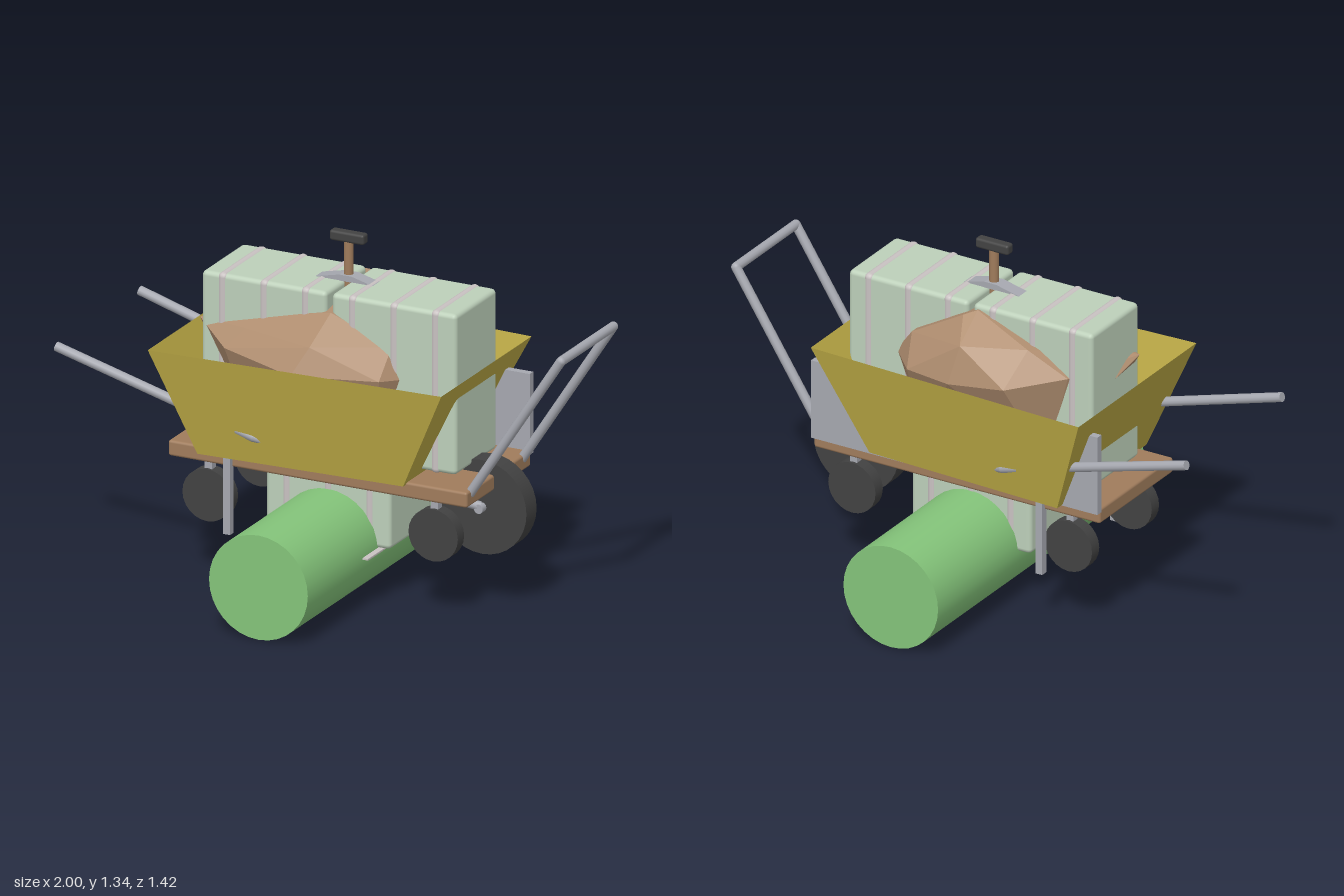
import * as THREE from 'three';
import { RoundedBoxGeometry } from 'three/addons/geometries/RoundedBoxGeometry.js';
import { ConvexGeometry } from 'three/addons/geometries/ConvexGeometry.js';

const mat = (name, color) => {
  const m = new THREE.MeshStandardMaterial({ color });
  m.name = name;
  return m;
};

export function createModel() {
  const root = new THREE.Group();
  root.name = 'loadedCart';
  const green = mat('leafGreen', 0x84c47a);
  const pale = mat('paleGreen', 0xbdd0ba);
  const strap = mat('strapGrey', 0xc9c2c2);
  const yellow = mat('trayYellow', 0xc0ad47);
  const metal = mat('metalGrey', 0xa6a8b0);
  const rubber = mat('rubberBlack', 0x424242);
  const wood = mat('plankBrown', 0xa07c5c);
  const sackBrown = mat('sackBrown', 0xb08e70);
  yellow.side = THREE.DoubleSide;

  const add = (name, geo, material, x = 0, y = 0, z = 0, parent = root) => {
    const m = new THREE.Mesh(geo, material);
    m.name = name;
    m.position.set(x, y, z);
    parent.add(m);
    return m;
  };
  const box = (w, h, d) => new THREE.BoxGeometry(w, h, d);
  const rbox = (w, h, d, r) => new RoundedBoxGeometry(w, h, d, 2, r);
  const disc = (r, w, n) => new THREE.CylinderGeometry(r, r, w, n).rotateX(Math.PI / 2);

  // straight pipes joined by ball elbows
  const pipe = (name, pts, r) => {
    const g = new THREE.Group();
    g.name = name;
    const v = pts.map((p) => new THREE.Vector3(...p));
    for (let i = 0; i < v.length - 1; i++) {
      const d = v[i + 1].clone().sub(v[i]);
      const seg = add('pipe', new THREE.CylinderGeometry(r, r, d.length(), 12), metal, 0, 0, 0, g);
      seg.position.copy(v[i]).addScaledVector(d, 0.5);
      seg.quaternion.setFromUnitVectors(new THREE.Vector3(0, 1, 0), d.normalize());
      if (i > 0) add('elbow', new THREE.SphereGeometry(r, 12, 8), metal, ...pts[i], g);
    }
    root.add(g);
  };

  // big roller lying across the bottom
  add('roller', disc(0.2, 1.42, 32), green, 0.015, 0.205, 0);

  // strapped bales: two on top, one below
  const bale = (x, y0, y1) => {
    const g = new THREE.Group();
    g.name = 'bale';
    const h = y1 - y0;
    add('baleBody', rbox(0.505, h, 0.325, 0.018), pale, 0, 0, 0, g);
    for (const sx of [-0.168, 0, 0.168])
      add('baleStrap', rbox(0.038, h + 0.008, 0.333, 0.018), strap, sx, 0, 0, g);
    g.position.set(x, (y0 + y1) / 2, 0);
    root.add(g);
  };
  bale(-0.246, 0.54, 1.156);
  bale(0.28, 0.54, 1.156);
  bale(0.014, 0.21, 0.55);
  add('bottomStrip', box(0.045, 0.006, 0.56), strap, 0.215, 0.208, 0);

  // platform with four small wheels and a side panel
  add('platform', rbox(1.21, 0.06, 0.505, 0.01), wood, 0.018, 0.49, 0);
  for (const x of [-0.44, 0.475])
    for (const z of [-0.205, 0.205]) {
      add('smallWheel', disc(0.1, 0.05, 24), rubber, x, 0.326, z);
      add('casterStem', box(0.03, 0.1, 0.03), metal, x, 0.42, z);
    }
  add('sidePanel', box(1.21, 0.31, 0.028), metal, 0.018, 0.66, -0.256);

  // push handle loop at the platform end
  pipe('pushHandle', [[0.61, 0.5, 0.205], [0.98, 1.07, 0.205], [0.98, 1.07, -0.205], [0.61, 0.5, -0.205]], 0.018);

  // barrow shafts, legs and front wheel
  for (const s of [1, -1]) {
    pipe('barrowShaft', [[-1, 0.835, s * 0.328], [-0.21, 0.612, s * 0.308], [0.575, 0.395, s * 0.05]], 0.018);
    add('barrowLeg', box(0.028, 0.31, 0.028), metal, -0.34, 0.36, s * 0.256);
  }
  add('barrowWheel', disc(0.18, 0.08, 32), rubber, 0.575, 0.39, 0);
  add('wheelAxle', disc(0.018, 0.14, 12), metal, 0.575, 0.39, 0);

  // open tapered tray
  const lower = [[-0.44, 0.51, 0.307], [0.375, 0.51, 0.272], [0.375, 0.51, -0.272], [-0.44, 0.51, -0.307]];
  const upper = [[-0.59, 0.914, 0.405], [0.572, 0.914, 0.355], [0.572, 0.914, -0.355], [-0.59, 0.914, -0.405]];
  const tri = [];
  const quad = (a, b, c, d) => tri.push(...a, ...b, ...c, ...a, ...c, ...d);
  for (let i = 0; i < 4; i++) {
    const j = (i + 1) % 4;
    quad(lower[i], lower[j], upper[j], upper[i]);
  }
  quad(lower[3], lower[2], lower[1], lower[0]);
  const trayGeo = new THREE.BufferGeometry();
  trayGeo.setAttribute('position', new THREE.Float32BufferAttribute(tri, 3));
  trayGeo.computeVertexNormals();
  add('tray', trayGeo, yellow);

  // faceted heap in the tray
  const heap = [
    [-0.52, 0.965, 0.13], [-0.5, 0.92, 0], [-0.4, 0.96, -0.17], [-0.22, 0.93, -0.32], [0, 0.91, -0.345],
    [0.2, 0.9, -0.3], [0.34, 0.88, -0.14], [0.35, 0.86, 0.08], [0.26, 0.88, 0.24], [-0.04, 0.89, 0.355],
    [-0.36, 0.91, 0.25], [0.03, 1.085, 0.17], [0.26, 0.98, 0.14], [-0.3, 0.98, 0.2], [0.01, 0.99, 0.3],
    [-0.02, 1.14, -0.17], [0.02, 1.125, -0.205], [-0.03, 1.055, -0.31], [0.24, 1.0, -0.2], [-0.25, 1.05, -0.2],
    [-0.3, 0.6, 0.15], [-0.3, 0.6, -0.15], [0.22, 0.6, 0.15], [0.22, 0.6, -0.15],
  ].map((p) => new THREE.Vector3(...p));
  add('heap', new ConvexGeometry(heap), sackBrown);

  // hand tool standing in the load
  const collar = new THREE.Shape([[-0.11, 1.155], [0.13, 1.155], [0.04, 1.178], [-0.01, 1.178]].map((p) => new THREE.Vector2(...p)));
  add('toolCollar', new THREE.ExtrudeGeometry(collar, { depth: 0.054, bevelEnabled: false }), metal, 0, 0, -0.027);
  add('toolShaft', new THREE.CylinderGeometry(0.018, 0.018, 0.4, 12), wood, 0.015, 1.11, 0);
  add('toolGrip', rbox(0.14, 0.04, 0.04, 0.01), rubber, 0.015, 1.32, 0);

  return root;
}
